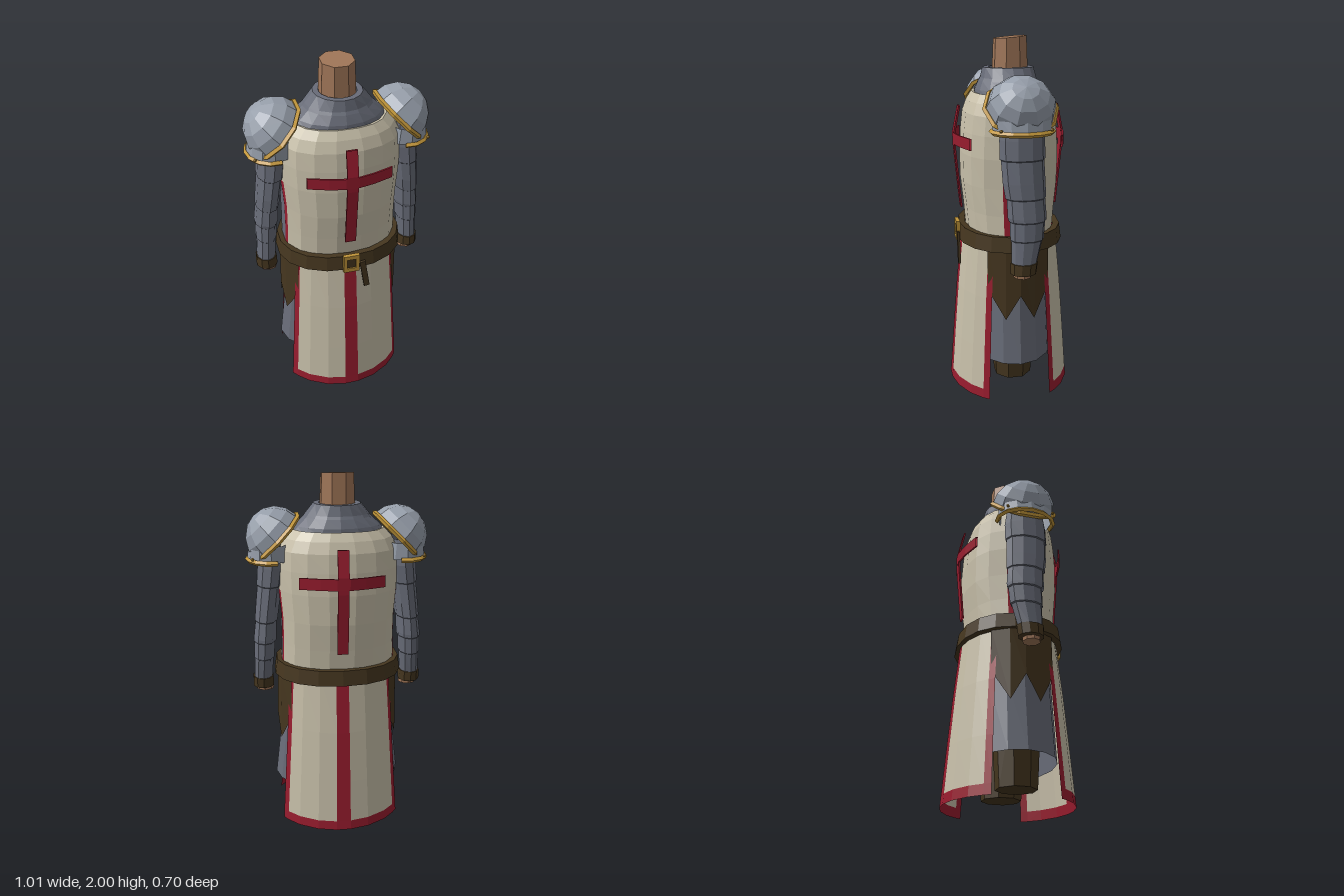
import * as THREE from 'three';

const mat = (name, color) => new THREE.MeshStandardMaterial({ name, color, flatShading: true, side: THREE.DoubleSide });

export function createModel() {
  const root = new THREE.Group();
  const cream = mat('cream cloth', 0xc8c0aa), red = mat('red cloth', 0x981c2e), mail = mat('grey mail', 0x686c78);
  const leather = mat('dark leather', 0x45361f), gold = mat('gold trim', 0xc2963a);
  const steel = mat('pale steel', 0x969eaa), skin = mat('skin', 0xa07658);

  const add = (name, geo, material, parent = root) => {
    const m = new THREE.Mesh(geo, material);
    m.name = name;
    parent.add(m);
    return m;
  };

  // Quad surface from rows (top to bottom) of points; pick(row, col) chooses the material index.
  function surface(rows, pick = () => 0) {
    const bins = [];
    for (let r = 0; r < rows.length - 1; r++) {
      for (let c = 0; c < rows[r].length - 1; c++) {
        const a = rows[r][c], b = rows[r + 1][c], d = rows[r + 1][c + 1], e = rows[r][c + 1];
        const k = pick(r, c);
        (bins[k] ??= []).push(...a, ...b, ...d, ...a, ...d, ...e);
      }
    }
    const geo = new THREE.BufferGeometry();
    geo.setAttribute('position', new THREE.Float32BufferAttribute(bins.flat(), 3));
    let start = 0;
    bins.forEach((bin, k) => {
      geo.addGroup(start, bin.length / 3, k);
      start += bin.length / 3;
    });
    geo.computeVertexNormals();
    return geo;
  }

  // Point on a slightly squared ellipse; angle in degrees from +z towards +x.
  const bend = (v, p) => Math.sign(v) * Math.abs(v) ** p;
  const onRing = ([y, rx, rz, cx = 0, cz = 0], deg, p = 1) => {
    const a = THREE.MathUtils.degToRad(deg);
    return [cx + rx * bend(Math.sin(a), p), y, cz + rz * bend(Math.cos(a), p)];
  };
  const loft = (rings, angles, p, pick) => surface(rings.map(r => angles.map(a => onRing(r, a, p))), pick);
  const around = n => Array.from({ length: n + 1 }, (_, i) => (i * 360) / n);

  // Neck with a sloping top
  const neckGeo = new THREE.CylinderGeometry(0.092, 0.102, 0.24, 8).rotateY(Math.PI / 8);
  const np = neckGeo.attributes.position;
  for (let i = 0; i < np.count; i++) if (np.getY(i) > 0) np.setY(i, np.getY(i) - np.getZ(i) * 0.09);
  add('neck', neckGeo.translate(0, 1.872, -0.01), skin);

  // Mail collar
  add('collar', loft([[1.8, 0.09, 0.09], [1.835, 0.1, 0.108], [1.835, 0.13, 0.142], [1.78, 0.175, 0.155],
    [1.765, 0.185, 0.165], [1.72, 0.235, 0.185], [1.68, 0.27, 0.19]], around(16)), mail);

  // Tabard body: red-edged side slits show mail below the armholes
  const half = [-80, -73, -50, -30, -10, 10, 30, 50, 73, 80];
  const bodyAngles = [...half, ...half.map(a => a + 180), 280];
  const bodyRings = [[1.7, 0.24, 0.18], [1.705, 0.255, 0.2], [1.66, 0.3, 0.228], [1.6, 0.33, 0.25], [1.5, 0.335, 0.262],
    [1.38, 0.332, 0.27], [1.22, 0.32, 0.268], [1.07, 0.32, 0.252], [0.92, 0.325, 0.24]];
  add('tabardBody', loft(bodyRings, bodyAngles, 0.88, (r, c) => {
    if (r < 5) return 0;
    const k = c % 10;
    return k === 9 ? 2 : k === 0 || k === 8 ? 1 : 0;
  }), [cream, red, mail]);

  // Tabard skirt panels with red centre stripe, sides and hem
  const panelAngles = [-60, -53.5, -40, -22, -6, 6, 22, 40, 53.5, 60];
  const panelRings = [[0.92, 0.325, 0.27], [0.6, 0.348, 0.303], [0.3, 0.37, 0.328], [0.055, 0.388, 0.347], [0, 0.392, 0.352]];
  const panelGeo = loft(panelRings, panelAngles, 1, (r, c) => (r === 3 || c === 0 || c === 4 || c === 8 ? 1 : 0));

  // Raised cross, bent round the chest; each bar is a thin box swept along a path
  const bar = (path, corners) => surface(path.map(([x, y, z]) => corners.map(([dx, dy, dz]) => [x + dx, y + dy, z + dz])));
  const t = 0.005;
  const upright = bar([[0, 1.63, 0.275], [0, 1.49, 0.304], [0, 1.4, 0.303], [0, 1.06, 0.272]],
    [[-0.03, 0, t], [0.03, 0, t], [0.03, 0, -t], [-0.03, 0, -t], [-0.03, 0, t]]);
  const crossbar = bar([[-0.228, 1.453, 0.247], [-0.12, 1.453, 0.285], [-0.035, 1.453, 0.304], [0.035, 1.453, 0.304],
    [0.12, 1.453, 0.285], [0.228, 1.453, 0.247]],
    [[0, -0.031, t], [0, 0.031, t], [0, 0.031, -t], [0, -0.031, -t], [0, -0.031, t]]);

  for (const [side, turn] of [['front', 0], ['back', Math.PI]]) {
    const g = new THREE.Group();
    g.name = side + 'Cloth';
    g.rotation.y = turn;
    add(side + 'SkirtPanel', panelGeo, [cream, red], g);
    add(side + 'CrossUpright', upright, red, g);
    add(side + 'CrossBar', crossbar, red, g);
    root.add(g);
  }

  // Belt, buckle and hanging strap
  add('belt', loft([[0.965, 0.32, 0.25], [0.967, 0.352, 0.286], [0.882, 0.364, 0.298], [0.88, 0.32, 0.26]],
    around(18), 0.92), leather);
  const frame = new THREE.Shape([[-0.045, -0.055], [0.045, -0.055], [0.045, 0.055], [-0.045, 0.055]].map(q => new THREE.Vector2(...q)));
  frame.holes.push(new THREE.Path([[-0.026, -0.03], [-0.026, 0.03], [0.026, 0.03], [0.026, -0.03]].map(q => new THREE.Vector2(...q))));
  add('buckle', new THREE.ExtrudeGeometry(frame, { depth: 0.022, bevelEnabled: false }), gold).position.set(0, 0.925, 0.285);
  add('buckleCentre', new THREE.BoxGeometry(0.056, 0.064, 0.012), leather).position.set(0, 0.925, 0.294);
  const strap = add('beltStrap', new THREE.BoxGeometry(0.032, 0.18, 0.014), leather);
  strap.position.set(0.077, 0.838, 0.3);
  strap.rotation.z = 0.16;

  // Mail skirt
  add('mailSkirt', loft([[0.92, 0.3, 0.22], [0.6, 0.325, 0.235], [0.22, 0.37, 0.25]], around(16)), mail);

  // Side leather flap with two points
  const flapZ = [0.17, 0.08, 0, -0.08, -0.17], flapY = [0.65, 0.485, 0.625, 0.485, 0.65];
  const flapRow = (rx, yAt) => flapZ.map((z, i) => [rx * Math.sqrt(1 - (z / 0.28) ** 2), yAt(i), z]);
  const flapGeo = surface([flapRow(0.345, () => 0.9), flapRow(0.352, i => flapY[i])]);

  // Arm from shoulder to wrist, with a slight fold at each band
  const armRings = [[1.64, 0.07, 0.1, 0.36, 0], [1.5, 0.08, 0.12, 0.363, 0], [1.4, 0.076, 0.12, 0.375, 0],
    [1.395, 0.07, 0.114, 0.377, 0], [1.28, 0.068, 0.113, 0.392, -0.005], [1.2, 0.066, 0.108, 0.402, -0.012],
    [1.195, 0.061, 0.102, 0.403, -0.013], [1.1, 0.066, 0.104, 0.411, -0.018], [1.08, 0.066, 0.1, 0.413, -0.02],
    [1.075, 0.06, 0.094, 0.414, -0.02], [0.98, 0.06, 0.09, 0.42, -0.016], [0.975, 0.055, 0.084, 0.42, -0.015],
    [0.85, 0.054, 0.068, 0.428, 0]];
  const cuffRings = [[0.855, 0.05, 0.06, 0.428, 0], [0.855, 0.06, 0.074, 0.428, 0], [0.795, 0.062, 0.07, 0.428, 0.004],
    [0.79, 0.04, 0.045, 0.425, 0.004]];
  const wristRings = [[0.81, 0.05, 0.052, 0.422, 0.008], [0.772, 0.05, 0.048, 0.42, 0.008], [0.77, 0.001, 0.001, 0.42, 0.008]];

  for (const [side, s] of [['left', 1], ['right', -1]]) {
    const sided = rings => rings.map(([y, rx, rz, cx, cz]) => [y, rx, rz, cx * s, cz]);
    add(side + 'Arm', loft(sided(armRings), around(10)), mail);
    add(side + 'Cuff', loft(sided(cuffRings), around(10)), leather);
    add(side + 'Wrist', loft(sided(wristRings), around(8)), skin);
    add(side + 'Leg', new THREE.CylinderGeometry(0.135, 0.11, 0.45, 8).rotateY(Math.PI / 8), leather).position.set(0.145 * s, 0.295, 0.005);

    const g = new THREE.Group();
    g.name = side + 'Armour';
    g.rotation.y = s > 0 ? 0 : Math.PI;
    root.add(g);
    add(side + 'Flap', flapGeo, leather, g);

    // Shoulder plate: tilted faceted dome with a gold rim
    const plate = new THREE.Group();
    plate.name = side + 'ShoulderPlate';
    plate.position.set(0.332, 1.652, 0);
    plate.rotation.z = -Math.PI / 4;
    g.add(plate);
    const dome = new THREE.SphereGeometry(0.168, 10, 4, 0, Math.PI * 2, 0, Math.PI / 2).rotateY(Math.PI / 10);
    add(side + 'ShoulderDome', dome.scale(1, 1, 1.09), steel, plate);
    const rim = new THREE.TorusGeometry(0.172, 0.014, 4, 10).rotateX(Math.PI / 2).rotateY(Math.PI / 10);
    add(side + 'DomeRim', rim.scale(1, 1, 1.08), gold, plate);

    // Lower shoulder band with rivets
    add(side + 'ShoulderCup', loft([[1.63, 0.115, 0.16, 0.365, 0], [1.54, 0.127, 0.155, 0.365, 0]], around(12)), steel, g);
    const arc = Math.PI * 1.15;
    const band = new THREE.TorusGeometry(0.16, 0.014, 4, 8, arc).rotateZ(-arc / 2).rotateX(Math.PI / 2);
    add(side + 'ShoulderBand', band.scale(0.82, 1, 1), gold, g).position.set(0.362, 1.54, 0);
    for (const z of [-0.13, 0.13]) {
      add(side + 'Rivet', new THREE.IcosahedronGeometry(0.01, 0), gold, g).position.set(0.464, 1.56, z);
    }
  }
  return root;
}
